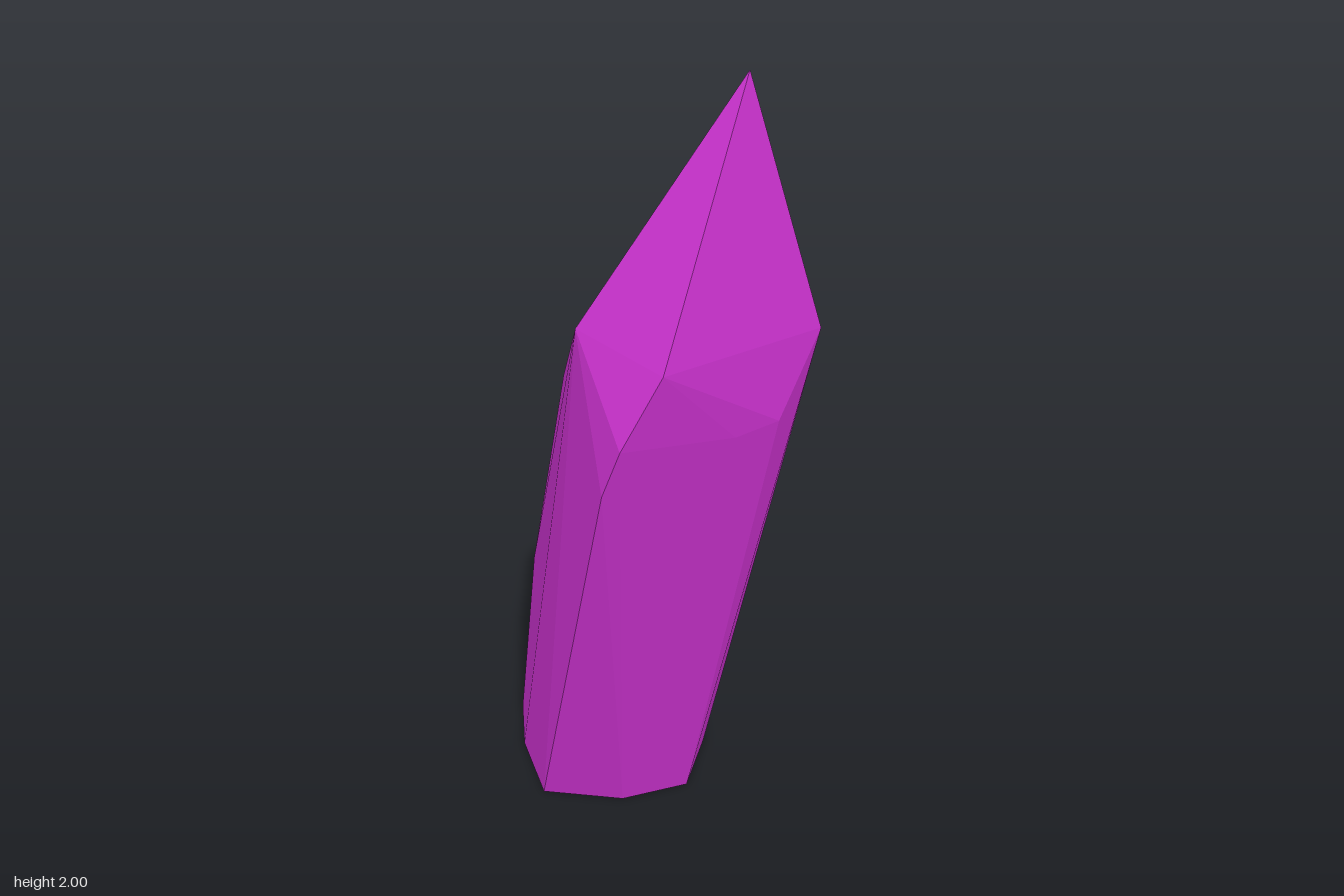
import * as THREE from 'three';
import { ConvexGeometry } from 'three/addons/geometries/ConvexGeometry.js';

export function createModel() {
  const magenta = new THREE.MeshStandardMaterial({ color: 0xd836dc, flatShading: true });
  magenta.name = 'magenta';

  // flat base outline (x, z)
  const base = [
    [0.315, -0.285], [0.31, -0.31], [0.23, -0.4], [0.095, -0.485], [-0.035, -0.445],
    [-0.105, -0.33], [-0.16, -0.165], [-0.03, -0.043], [0.115, 0], [0.235, -0.1],
  ].map(([x, z]) => [x, 0, z]);

  // chipped corners along the leaning shaft
  const shaft = [
    [0.275, 0.22, -0.27], [0.25, 0.57, -0.14], [-0.035, 0.47, -0.375], [0.23, 0.99, 0.08],
    [-0.3, 1.11, 0.285], [-0.3, 1.24, 0.345], [-0.08, 1.22, 0.4], [0, 1.24, 0.425],
  ];

  // shoulder corners where the point begins, and the tip
  const point = [
    [-0.12, 1.11, -0.11], [0.025, 1.55, 0.135], [-0.315, 1.45, 0.23],
    [-0.255, 1.42, 0.415], [0.055, 1.44, 0.467], [-0.135, 2, 0.485],
  ];

  // the crystal is the convex solid around its corners
  const corners = [...base, ...shaft, ...point].map((p) => new THREE.Vector3(...p));
  const crystal = new THREE.Mesh(new ConvexGeometry(corners), magenta);
  crystal.name = 'crystal';

  const group = new THREE.Group();
  group.name = 'crystalShard';
  group.add(crystal);
  return group;
}
